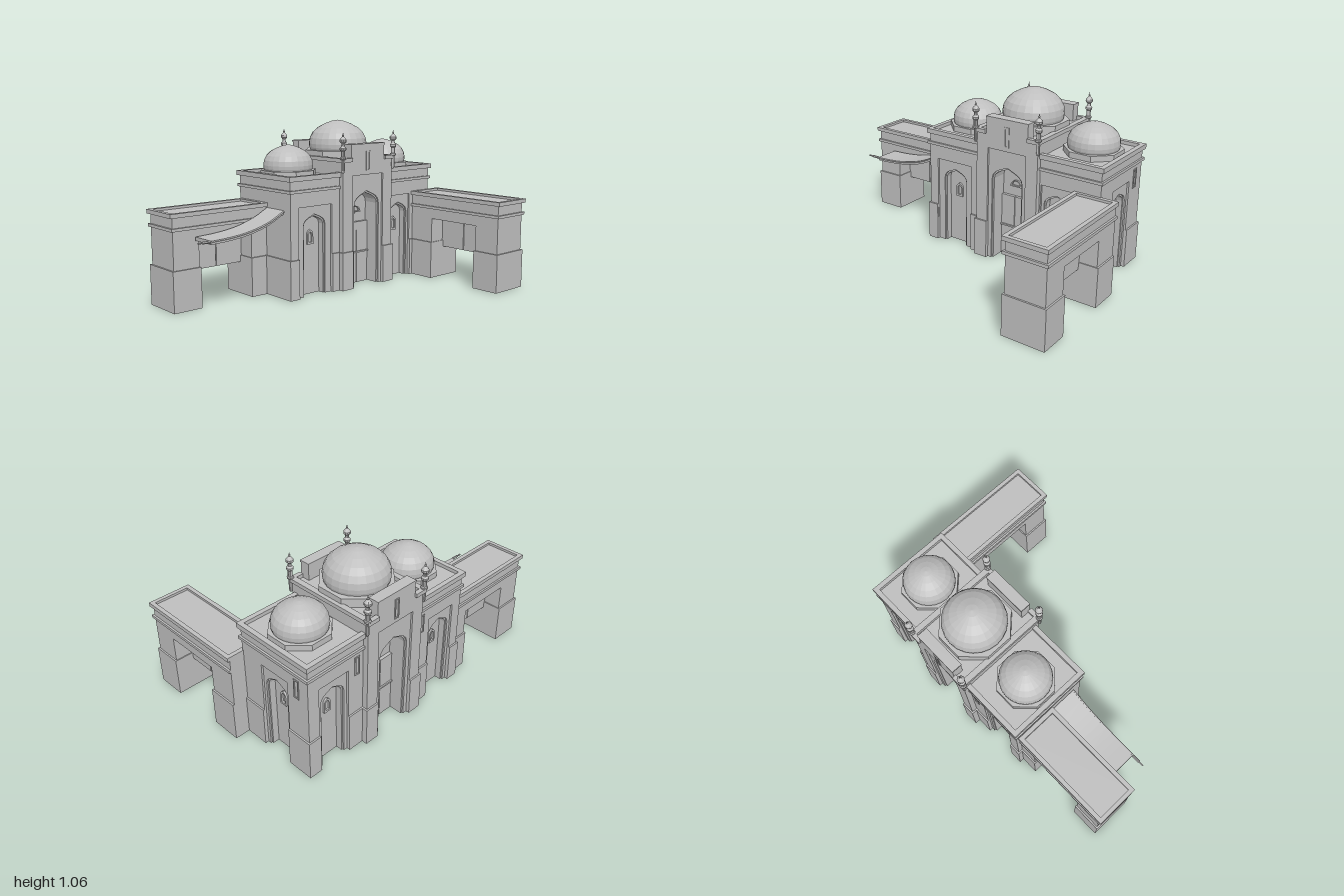
import * as THREE from 'three';

const stone = new THREE.MeshStandardMaterial({ color: 0xbebebe, flatShading: true, side: THREE.DoubleSide });
stone.name = 'stone grey';

function add(parent, name, geo) {
  const m = new THREE.Mesh(geo, stone);
  m.name = name;
  parent.add(m);
  return m;
}

function box(parent, name, x0, x1, y0, y1, z0, z1) {
  const m = add(parent, name, new THREE.BoxGeometry(x1 - x0, y1 - y0, z1 - z0));
  m.position.set((x0 + x1) / 2, (y0 + y1) / 2, (z0 + z1) / 2);
  return m;
}

// box without its underside, for hollow parts standing on the ground
function openBox(...args) {
  const m = box(...args);
  const index = Array.from(m.geometry.index.array);
  index.splice(18, 6);
  m.geometry.setIndex(index);
  m.geometry.clearGroups();
  return m;
}

function slab(parent, name, shape, z0, z1) {
  const geo = new THREE.ExtrudeGeometry(shape, { depth: z1 - z0, bevelEnabled: false, curveSegments: 5 });
  return add(parent, name, geo.translate(0, 0, z0));
}

function group(parent, name) {
  const g = new THREE.Group();
  g.name = name;
  parent.add(g);
  return g;
}

// horizontal rectangular ring, used for cornices, bands and roof rims
function ring(parent, name, x0, x1, z0, z1, y0, y1, t) {
  const rect = (path, d) => path.moveTo(x0 + d, -z0 - d).lineTo(x1 - d, -z0 - d).lineTo(x1 - d, -z1 + d).lineTo(x0 + d, -z1 + d).closePath();
  const s = rect(new THREE.Shape(), 0);
  s.holes.push(rect(new THREE.Path(), t));
  const geo = new THREE.ExtrudeGeometry(s, { depth: y1 - y0, bevelEnabled: false });
  return add(parent, name, geo.rotateX(-Math.PI / 2).translate(0, y0, 0));
}

// pointed keel arch from the left foot to the right foot
function arch(path, c, a, foot, spring, peak) {
  const h = peak - spring;
  path.lineTo(c - a, foot);
  path.lineTo(c - a, spring);
  path.bezierCurveTo(c - a, spring + 0.65 * h, c - 0.4 * a, peak - 0.25 * h, c, peak);
  path.bezierCurveTo(c + 0.4 * a, peak - 0.25 * h, c + a, spring + 0.65 * h, c + a, spring);
  path.lineTo(c + a, foot);
}

// wall outline with a notch for each panel, cut up from the ground
function wallShape(u0, u1, h, panels, notch) {
  const s = new THREE.Shape();
  s.moveTo(u0, 0);
  for (const p of panels) notch(s, p);
  s.lineTo(u1, 0);
  s.lineTo(u1, h);
  s.lineTo(u0, h);
  s.closePath();
  return s;
}

function slit(parent, c, y0, y1, half) {
  const rect = (path, k) => path.moveTo(c - half + k, y0 + k).lineTo(c + half - k, y0 + k).lineTo(c + half - k, y1 - k).lineTo(c - half + k, y1 - k).closePath();
  const s = rect(new THREE.Shape(), 0);
  s.holes.push(rect(new THREE.Path(), 0.008));
  slab(parent, 'slitWindowFrame', s, -0.002, 0.004);
}

function nicheWindow(parent, c, z) {
  const s = new THREE.Shape().moveTo(c + 0.023, 0.315);
  arch(s, c, 0.023, 0.315, 0.375, 0.408);
  const hole = new THREE.Path().moveTo(c + 0.013, 0.328);
  arch(hole, c, 0.013, 0.328, 0.372, 0.393);
  s.holes.push(hole);
  slab(parent, 'nicheWindowFrame', s, z, z + 0.012);
}

// layered wall facing local +z: plinth, square panel, then stepped arch niche
function facade(parent, name, u0, u1, h, depth, panels) {
  const g = group(parent, name);
  slab(g, 'wallFace', wallShape(u0, u1, h, panels, (s, p) =>
    s.lineTo(p.c - p.half, 0).lineTo(p.c - p.half, p.top).lineTo(p.c + p.half, p.top).lineTo(p.c + p.half, 0)), -0.012, 0);
  slab(g, 'archSurround', wallShape(u0, u1, h, panels, (s, p) => arch(s, p.c, p.a, 0, p.spring, p.peak)), -0.022, -0.012);
  slab(g, 'archNiche', wallShape(u0, u1, h, panels, (s, p) => arch(s, p.c, p.a - 0.01, 0, p.spring, p.peak - 0.012)), -depth, -0.022);
  let start = u0 - 0.01;
  for (const p of [...panels, null]) {
    const end = p ? p.c - p.half : u1 + 0.01;
    if (end - start > 0.012) openBox(g, 'plinth', start, end, 0, 0.245, -0.012, 0.01);
    if (p) start = p.c + p.half;
  }
  return g;
}

const smallPanel = (c, half, a) => ({ c, half, a, top: 0.56, spring: 0.44, peak: 0.51 });

// pointed dome on an octagonal drum
function dome(parent, x, z, roof, base, r, drum) {
  const g = group(parent, 'dome');
  g.position.set(x, 0, z);
  const profile = [[0.95, 0], [0.99, 0.12], [1, 0.25], [0.97, 0.44], [0.87, 0.63], [0.7, 0.79], [0.45, 0.925], [0.2, 1.015], [0, 1.05]]
    .map(([a, b]) => new THREE.Vector2(a * r, base + b * r));
  add(g, 'domeShell', new THREE.LatheGeometry(profile, 24));
  const h = base + 0.008 - roof, rr = drum / Math.cos(Math.PI / 8);
  add(g, 'octagonDrum', new THREE.CylinderGeometry(rr, rr, h, 8).rotateY(Math.PI / 8).translate(0, roof + h / 2, 0));
}

// gateway running along local +x from the building, on two hollow piers
function gateway(parent, name, o0) {
  const g = group(parent, name);
  const o1 = o0 + 0.368, L = o1 + 0.17, w = 0.123;
  box(g, 'lintel', 0, L, 0.405, 0.56, -w, w);
  for (const [a, b, lip0, lip1] of [[0, o0, 0, 0.006], [o1, L, 0.006, 0.01]]) {
    openBox(g, 'pier', a, b, 0.24, 0.405, -w, w);
    openBox(g, 'pierPlinth', a - lip0, b + lip1, 0, 0.245, -w - 0.01, w + 0.01);
  }
  ring(g, 'gateBand', 0, L + 0.012, -w - 0.012, w + 0.012, 0.472, 0.49, 0.03);
  ring(g, 'gateCornice', 0, L + 0.018, -w - 0.014, w + 0.014, 0.55, 0.575, 0.026);
  const mid = (o0 + o1) / 2;
  box(g, 'raisedDoorLeaf', o0, mid - 0.003, 0.203, 0.41, -0.012, 0.012);
  box(g, 'raisedDoorLeaf', mid + 0.003, o1, 0.203, 0.41, -0.012, 0.012);
  return g;
}

export function createModel() {
  const model = new THREE.Group();
  model.name = 'domedGatehouse';
  const X0 = -0.325, X1 = 0.89, Z0 = -0.6, Z1 = -0.085, D = 0.062, H = 0.73;

  // side wings
  const wings = [
    { u: [X0, 0.065], core: [X0 + D, 0.1], front: smallPanel(-0.131, 0.133, 0.086), back: -0.15, slit: 0.02 },
    { u: [0.495, X1], core: [0.46, X1 - D], front: smallPanel(0.604, 0.1, 0.082), back: 0.71, slit: 0.54 },
  ];
  for (const w of wings) {
    openBox(model, 'wingCore', ...w.core, 0, H, Z0 + D, Z1 - D);
    const f = facade(model, 'wingFront', w.u[0], w.u[1], H, D, [w.front]);
    f.position.z = Z1;
    nicheWindow(f, w.front.c, -D);
    const b = facade(model, 'wingBack', -w.u[1], -w.u[0], H, D, [smallPanel(-w.back, 0.105, 0.083)]);
    b.position.z = Z0;
    b.rotation.y = Math.PI;
    nicheWindow(b, -w.back, -D);
    slit(b, -w.slit, 0.5, 0.62, 0.018);
  }
  const side = facade(model, 'wingSide', -Z1, -Z0, H, D, [smallPanel(0.342, 0.103, 0.083)]);
  side.position.x = X1;
  side.rotation.y = Math.PI / 2;
  nicheWindow(side, 0.342, -D);
  slit(side, 0.515, 0.5, 0.62, 0.019);
  const plain = facade(model, 'wingSidePlain', Z0, Z1, H, D, []);
  plain.position.x = X0;
  plain.rotation.y = -Math.PI / 2;
  ring(model, 'wingBand', X0 - 0.012, X1 + 0.012, Z0 - 0.012, Z1 + 0.012, 0.65, 0.668, 0.03);
  ring(model, 'wingCornice', X0 - 0.015, X1 + 0.015, Z0 - 0.015, Z1 + 0.015, 0.722, 0.752, 0.03);
  box(model, 'raisedFloor', X0 + D, X1 - D, 0.2, 0.21, Z0 + D, Z1 - D);

  // central block with deep door niches front and back
  const cx = 0.28, cz = -0.343, cw = 0.215, cd = 0.291, CD = 0.125;
  openBox(model, 'centreCore', cx - cw, cx + cw, 0, 0.815, cz - cd + CD, cz + cd - CD);
  for (const turn of [0, Math.PI]) {
    const pivot = group(model, turn ? 'centreBack' : 'centreFront');
    pivot.position.set(cx, 0, cz);
    pivot.rotation.y = turn;
    const f = facade(pivot, 'portal', -cw, cw, 0.815, CD, [{ c: 0, half: 0.134, a: 0.108, top: 0.725, spring: 0.53, peak: 0.62 }]);
    f.position.z = cd;
    for (const s of [-1, 1]) {
      const leaf = box(f, 'doorLeaf', 0.002, 0.095, 0, 0.405, -CD, -CD + 0.02);
      leaf.position.x *= s;
      openBox(f, 'cornerPlinth', s * cw - 0.01, s * cw + 0.01, 0, 0.245, -0.06, 0.01);
    }
    const lunette = new THREE.Shape().absarc(0, 0.467, 0.042, 0, Math.PI, false);
    lunette.holes.push(new THREE.Path().absarc(0, 0.475, 0.029, 0, Math.PI, false));
    slab(f, 'lunetteFrame', lunette, -CD, -CD + 0.012);
    box(f, 'parapet', -0.145, 0.145, 0.78, 0.912, -0.062, 0);
    box(f, 'parapetCap', -0.148, 0.148, 0.91, 0.922, -0.065, 0.003);
    slit(f, 0, 0.75, 0.875, 0.017);
  }
  // side cornices, returning onto the front and back corners
  for (const s of [-1, 1]) {
    const x = cx + s * (cw - 0.005);
    box(model, 'centreSideCornice', x - 0.018, x + 0.018, 0.814, 0.838, cz - 0.305, cz + 0.305);
    for (const t of [-1, 1]) {
      const xs = [cx + s * 0.145, cx + s * cw].sort((a, b) => a - b);
      const z = cz + t * 0.291;
      box(model, 'centreCornerCornice', xs[0], xs[1], 0.814, 0.838, z - 0.014, z + 0.014);
    }
  }

  // domes
  dome(model, cx, -0.341, 0.81, 0.863, 0.19, 0.204);
  for (const x of [-0.137, 0.697]) dome(model, x, -0.341, 0.725, 0.757, 0.156, 0.165);

  // corner finials
  const finial = [[0.008, 0.75], [0.011, 0.765], [0.011, 0.83], [0.02, 0.836], [0.02, 0.846], [0.014, 0.85], [0.013, 0.885], [0.021, 0.893], [0.021, 0.905],
    [0.012, 0.915], [0.01, 0.93], [0.022, 0.942], [0.022, 0.955], [0.012, 0.968], [0.004, 0.975], [0.007, 0.981], [0.003, 0.987], [0, 1.003]]
    .map(([r, y]) => new THREE.Vector2(r, y));
  for (const x of [0.06, 0.5]) for (const z of [-0.633, -0.046]) {
    add(model, 'finial', new THREE.LatheGeometry(finial, 10)).position.set(x, 0, z);
  }

  // gateways
  const west = gateway(model, 'sideGateway', 0.115);
  west.position.set(-0.325, 0, -0.448);
  west.rotation.y = Math.PI;
  const south = gateway(model, 'frontGateway', 0.185);
  south.position.set(0.86, 0, -0.092);
  south.rotation.y = -Math.PI / 2;

  // sagging awning and its pole
  const sag = [[-0.33, 0.54], [-0.44, 0.485], [-0.57, 0.448], [-0.7, 0.43], [-0.84, 0.423]];
  const curve = new THREE.CatmullRomCurve3(sag.map(([x, y]) => new THREE.Vector3(x, y, -0.145)));
  const top = curve.getPoints(12).map((p) => new THREE.Vector2(p.x, p.y + 0.006));
  const under = top.map((p) => new THREE.Vector2(p.x, p.y - 0.022)).reverse();
  slab(model, 'awningCloth', new THREE.Shape([...top, ...under]), -0.31, -0.145);
  add(model, 'awningEdge', new THREE.TubeGeometry(curve, 14, 0.007, 6));
  const pole = add(model, 'awningPole', new THREE.CylinderGeometry(0.005, 0.005, 0.16, 6).rotateZ(Math.PI / 2));
  pole.position.set(-0.845, 0.425, -0.147);
  const tip = add(model, 'poleTip', new THREE.CylinderGeometry(0.008, 0.008, 0.05, 6).rotateZ(Math.PI / 2));
  tip.position.set(-0.87, 0.425, -0.147);
  return model;
}
